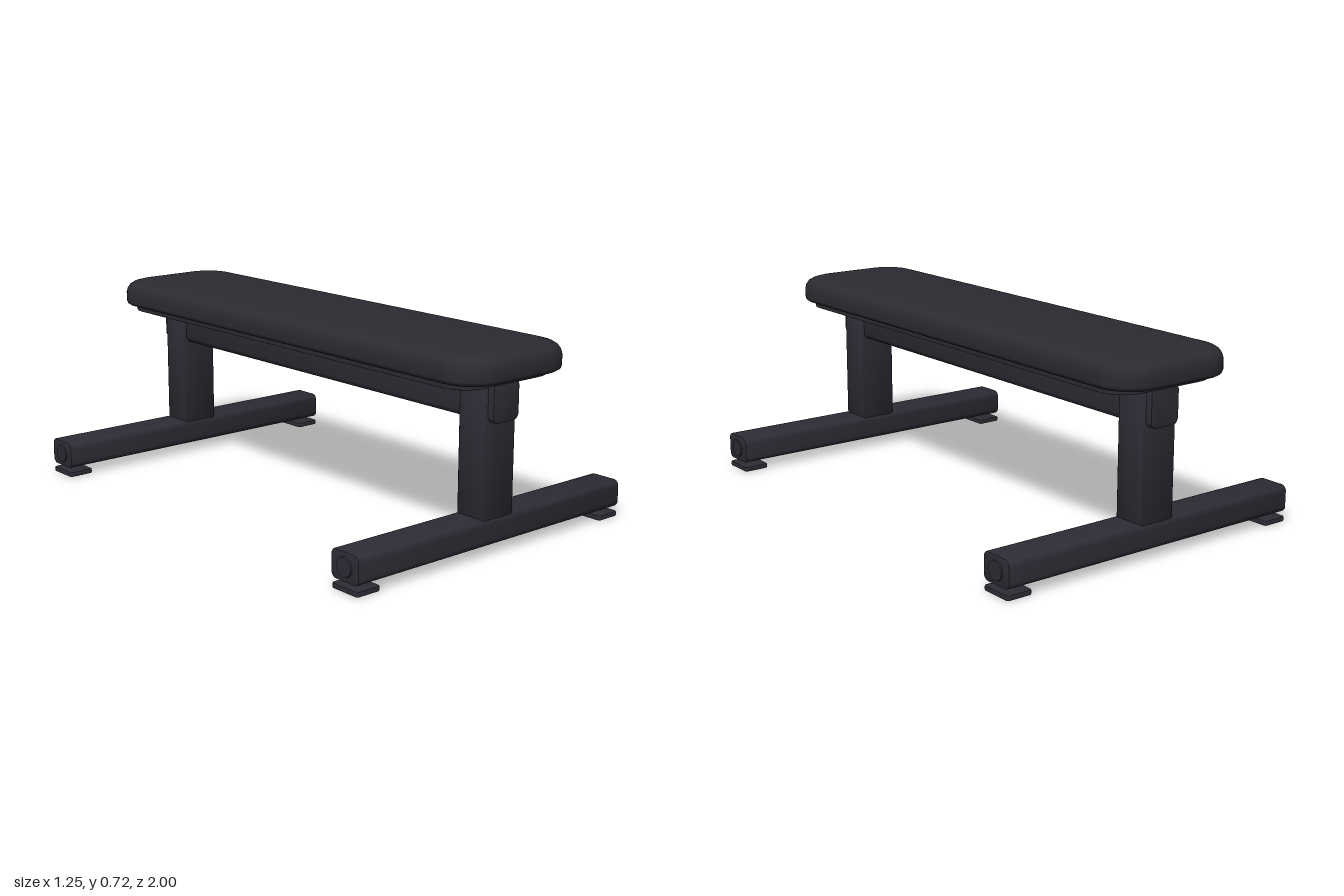
import * as THREE from 'three';
import { toCreasedNormals } from 'three/addons/utils/BufferGeometryUtils.js';

const material = (name, color) => {
  const m = new THREE.MeshStandardMaterial({ color });
  m.name = name;
  return m;
};

// points of a rounded rectangle, counter-clockwise
function outline(w, h, r, steps = 8) {
  const pts = [];
  const corners = [[1, 1], [-1, 1], [-1, -1], [1, -1]];
  corners.forEach(([sx, sy], c) => {
    for (let i = 0; i <= steps; i++) {
      const a = (c + i / steps) * Math.PI / 2;
      pts.push(new THREE.Vector2(sx * (w / 2 - r) + r * Math.cos(a), sy * (h / 2 - r) + r * Math.sin(a)));
    }
  });
  return pts;
}

// rounded bar centred on the origin, running along z, with softened ends
function bar(w, h, length, r, bevel = 0.004) {
  const shape = new THREE.Shape(outline(w - 2 * bevel, h - 2 * bevel, r - bevel));
  const g = new THREE.ExtrudeGeometry(shape, {
    depth: length - 2 * bevel, bevelThickness: bevel, bevelSize: bevel, bevelSegments: 2,
  });
  g.translate(0, 0, bevel - length / 2);
  return toCreasedNormals(g, 0.7);
}

// cushion lofted through rounded rectangles, from underside to crown
function cushion() {
  const rings = [
    [0.24, 0.612], [0.03, 0.612], [0.012, 0.614], [0.003, 0.62], [0, 0.63], [0, 0.662], [0.004, 0.68],
    [0.012, 0.693], [0.025, 0.702], [0.045, 0.708], [0.08, 0.711], [0.14, 0.715], [0.2, 0.718], [0.24, 0.719],
  ];
  const pos = [], index = [];
  let n = 0;
  rings.forEach(([inset, y]) => {
    const pts = outline(0.5 - 2 * inset, 2 - 2 * inset, Math.max(0.125 - inset * 0.6, 0.005) > 0.25 - inset
      ? (0.25 - inset) * 0.9 : Math.max(0.125 - inset * 0.6, 0.005));
    n = pts.length;
    pts.forEach((p) => pos.push(p.x, y, -p.y));
  });
  for (let k = 0; k < rings.length - 1; k++) {
    for (let i = 0; i < n; i++) {
      const a = k * n + i, b = k * n + (i + 1) % n;
      index.push(a, b, b + n, a, b + n, a + n);
    }
  }
  // close the narrow strips in the middle of the underside and crown
  const top = (rings.length - 1) * n;
  for (let i = 1; i < n - 1; i++) index.push(0, i + 1, i, top, top + i, top + i + 1);
  const g = new THREE.BufferGeometry();
  g.setAttribute('position', new THREE.Float32BufferAttribute(pos, 3));
  g.setIndex(index);
  g.computeVertexNormals();
  return g;
}

export function createModel() {
  const model = new THREE.Group();
  model.name = 'flatBench';
  const vinyl = material('charcoal upholstery', 0x2b2c32);
  const steel = material('dark painted steel', 0x2c2c35);

  const add = (parent, name, geometry, mat, x = 0, y = 0, z = 0) => {
    const mesh = new THREE.Mesh(geometry, mat);
    mesh.name = name;
    mesh.position.set(x, y, z);
    parent.add(mesh);
    return mesh;
  };

  // seat: cushion on a backing board
  add(model, 'cushion', cushion(), vinyl);
  add(model, 'backingBoard', bar(0.45, 1.89, 0.024, 0.1, 0.003).rotateX(Math.PI / 2), vinyl, 0, 0.606, 0);

  // long beam under the seat
  add(model, 'spineBeam', bar(0.12, 0.14, 1.84, 0.025), steel, 0, 0.528, 0);

  // the two T-shaped stands
  for (const side of [1, -1]) {
    const stand = new THREE.Group();
    stand.name = side > 0 ? 'frontStand' : 'backStand';
    stand.position.z = side * 0.835;
    model.add(stand);

    add(stand, 'upright', bar(0.16, 0.12, 0.475, 0.02).rotateX(Math.PI / 2), steel, 0, 0.3605, 0);
    add(stand, 'footBar', bar(0.13, 0.1, 1.24, 0.022).rotateY(Math.PI / 2), steel, 0, 0.085, 0);

    for (const end of [1, -1]) {
      // round plug on the bar end and flat foot below it
      const plug = new THREE.CylinderGeometry(0.033, 0.035, 0.008, 24).rotateZ(-end * Math.PI / 2);
      add(stand, 'endPlug', plug, steel, end * 0.621, 0.085, 0);
      add(stand, 'footPad', bar(0.1, 0.125, 0.02, 0.012, 0.006).rotateX(Math.PI / 2), steel, end * 0.573, 0.01, 0);
    }
  }
  return model;
}
